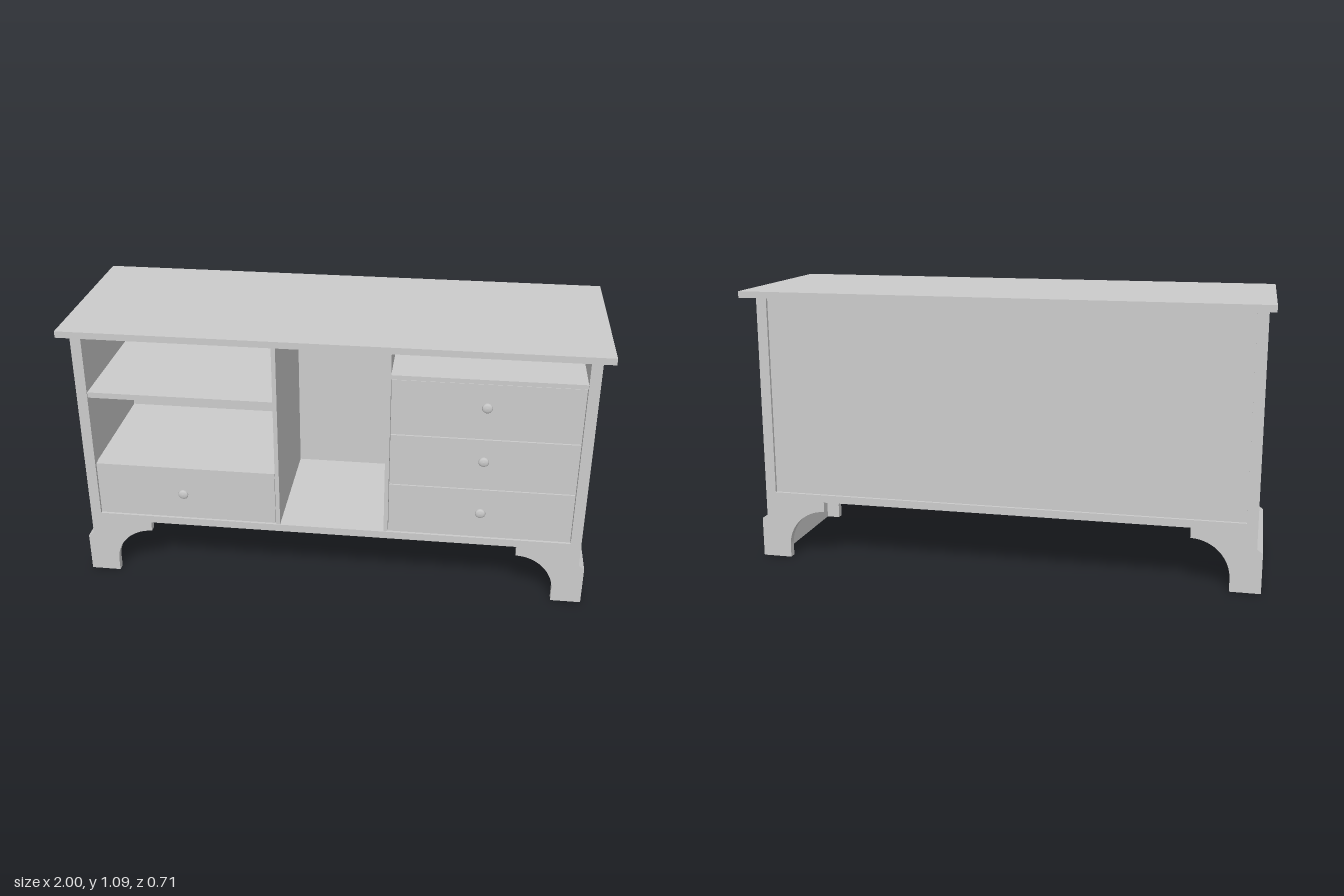
import * as THREE from 'three';

const material = new THREE.MeshStandardMaterial({ color: 0xcccccc });
const DEPTH = 0.279;   // half depth of the carcass
const INNER = 0.929;   // inner face of the side walls
const OUTER = 0.97;    // outer face of the side walls
const TOP = 1.06;      // underside of the top board

function part(name, geometry, parent) {
  const mesh = new THREE.Mesh(geometry, material);
  mesh.name = name;
  parent.add(mesh);
  return mesh;
}

// Box given by its limits on each axis
function board(name, [x0, x1], [y0, y1], [z0, z1], parent) {
  const g = new THREE.BoxGeometry(x1 - x0, y1 - y0, z1 - z0);
  g.translate((x0 + x1) / 2, (y0 + y1) / 2, (z0 + z1) / 2);
  return part(name, g, parent);
}

function polygon(points) {
  return new THREE.Shape(points.map(([x, y]) => new THREE.Vector2(x, y)));
}

function rect(hw, y0, y1) {
  return polygon([[-hw, y0], [hw, y0], [hw, y1], [-hw, y1]]);
}

function extrude(shape, depth) {
  return new THREE.ExtrudeGeometry(shape, { depth, bevelEnabled: false, curveSegments: 16 });
}

// Rounded, mitred moulding that runs down into the sunk side panel
function mouldingGeometry(hw, y0, y1, width, depth) {
  const corners = [[-1, 0], [1, 0], [1, 1], [-1, 1]];
  const steps = 8, pos = [], index = [];
  for (let k = 0; k < 4; k++) {
    const base = pos.length / 3;
    for (let i = 0; i <= steps; i++) {
      const a = (i / steps) * Math.PI / 2;
      const out = width * (1 - Math.sin(a));
      const x = OUTER - depth * (1 - Math.cos(a));
      for (const [u, v] of [corners[k], corners[(k + 1) % 4]]) {
        pos.push(x, v ? y1 + out : y0 - out, -u * (hw + out));
      }
      if (i < steps) {
        const n = base + i * 2;
        index.push(n, n + 1, n + 3, n, n + 3, n + 2);
      }
    }
  }
  const g = new THREE.BufferGeometry();
  g.setAttribute('position', new THREE.Float32BufferAttribute(pos, 3));
  g.setIndex(index);
  g.computeVertexNormals();
  return g;
}

// One end of the cabinet: framed wall, sunk panel, plinth and foot brackets
function createSide(name) {
  const side = new THREE.Group();
  side.name = name;

  const wall = rect(DEPTH, 0, TOP);
  wall.holes.push(rect(0.177, 0.44, 0.919));
  const wallGeo = extrude(wall, OUTER - INNER);
  wallGeo.rotateY(Math.PI / 2).translate(INNER, 0, 0);
  part('sideWall', wallGeo, side);
  board('sidePanel', [INNER, OUTER - 0.03], [0.44, 0.919], [-0.177, 0.177], side);
  part('panelMoulding', mouldingGeometry(0.165, 0.452, 0.907, 0.012, 0.03), side);

  const plinth = polygon([[OUTER, 0], [0.992, 0], [0.992, 0.157], [OUTER, 0.173]]);
  part('plinth', extrude(plinth, DEPTH * 2).translate(0, 0, -DEPTH), side);

  const bracket = new THREE.Shape();
  bracket.moveTo(INNER, 0);
  bracket.lineTo(INNER, 0.24);
  bracket.lineTo(0.725, 0.24);
  bracket.lineTo(0.725, 0.2);
  bracket.absarc(0.725, 0.05, 0.15, Math.PI / 2, 0, true);
  bracket.lineTo(0.875, 0);
  const thick = 0.03;
  for (const z of [DEPTH - thick, -DEPTH]) {
    part('footBracket', extrude(bracket, thick).translate(0, 0, z), side);
  }
  return side;
}

// Drawer front with a flattened round knob
function createDrawer(x0, x1, y0, y1, knobX, knobY) {
  const drawer = new THREE.Group();
  drawer.name = 'drawer';
  const gap = 0.002, face = 0.272;
  board('drawerFront', [x0 + gap, x1 - gap], [y0 + gap, y1 - gap], [face - 0.02, face], drawer);
  const profile = [[0.008, 0], [0.008, 0.007], [0.016, 0.009], [0.02, 0.013],
    [0.017, 0.017], [0.01, 0.019], [0, 0.02]].map(([r, y]) => new THREE.Vector2(r, y));
  const knob = part('knob', new THREE.LatheGeometry(profile, 24).rotateX(Math.PI / 2), drawer);
  knob.position.set(knobX, knobY, face);
  return drawer;
}

export function createModel() {
  const model = new THREE.Group();
  model.name = 'sideboard';
  board('topBoard', [-1, 1], [TOP, 1.085], [-0.355, 0.355], model);

  const body = new THREE.Group();
  body.name = 'carcass';
  body.position.set(-0.005, 0, 0.001);
  model.add(body);

  // Ends
  body.add(createSide('leftSide'));
  const right = createSide('rightSide');
  right.rotation.y = Math.PI;
  body.add(right);

  // Bottom, back and the two dividers
  const back = -0.255, front = 0.274;
  board('bottomBoard', [-INNER, INNER], [0.24, 0.27], [-DEPTH, DEPTH], body);
  board('backPanel', [-INNER, INNER], [0.27, TOP], [-0.267, back], body);
  for (const x of [-0.217, 0.208]) {
    board('divider', [x, x + 0.016], [0.27, TOP], [back, front], body);
  }

  // Shelves
  board('upperShelf', [-INNER, -0.217], [0.783, 0.805], [back, front], body);
  board('lowerShelf', [-INNER, -0.217], [0.473, 0.495], [back, 0.253], body);
  board('drawerTopShelf', [0.224, INNER], [0.925, 0.942], [back, front], body);

  // Drawers
  body.add(createDrawer(-INNER, -0.217, 0.27, 0.497, -0.582, 0.385));
  const levels = [0.27, 0.483, 0.698, 0.925];
  const knobs = [0.385, 0.61, 0.834];
  knobs.forEach((y, i) => {
    body.add(createDrawer(0.224, INNER, levels[i], levels[i + 1], 0.577, y));
  });
  return model;
}
